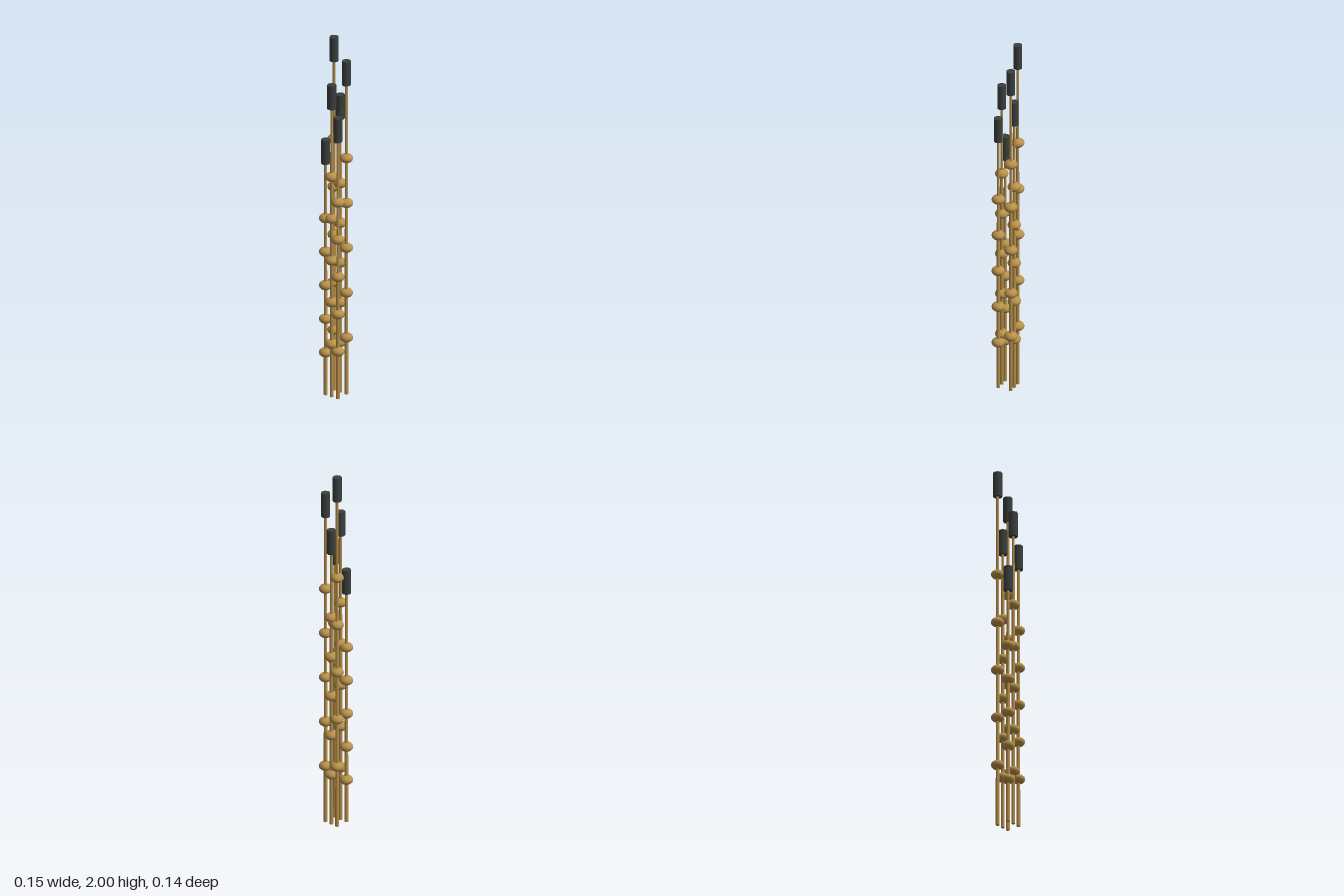
import * as THREE from 'three';

export function createModel() {
  const model = new THREE.Group();
  const gold = new THREE.MeshStandardMaterial({ name: 'golden cane', color: 0xb8914c });
  const dark = new THREE.MeshStandardMaterial({ name: 'dark tip', color: 0x3b403d });

  const capHeight = 0.135;
  const capGeometry = new THREE.CylinderGeometry(0.024, 0.024, capHeight, 8);
  const beadGeometry = new THREE.SphereGeometry(0.035, 20, 8).scale(1, 0.72, 1);

  // x, z and total height of each rod
  const rods = [
    [-0.04, -0.036, 2.0], [0, -0.036, 1.685], [0.04, -0.036, 1.885],
    [-0.04, 0.036, 1.445], [0, 0.036, 1.765], [0.04, 0.036, 1.59],
  ];

  for (const [x, z, height] of rods) {
    const rod = new THREE.Group();
    rod.name = 'rod';
    rod.position.set(x, 0, z);
    const add = (name, geometry, material, y) => {
      const mesh = new THREE.Mesh(geometry, material);
      mesh.name = name;
      mesh.position.y = y;
      rod.add(mesh);
    };

    // slightly tapered stem with a dark cap on top
    const length = height - capHeight;
    add('stem', new THREE.CylinderGeometry(0.0075, 0.01, length, 8), gold, length / 2);
    add('cap', capGeometry, dark, length + capHeight / 2);

    // five evenly spaced joints along the stem
    for (let i = 0; i < 5; i++) add('joint', beadGeometry, gold, length * (0.183 + 0.145 * i));
    model.add(rod);
  }
  return model;
}
